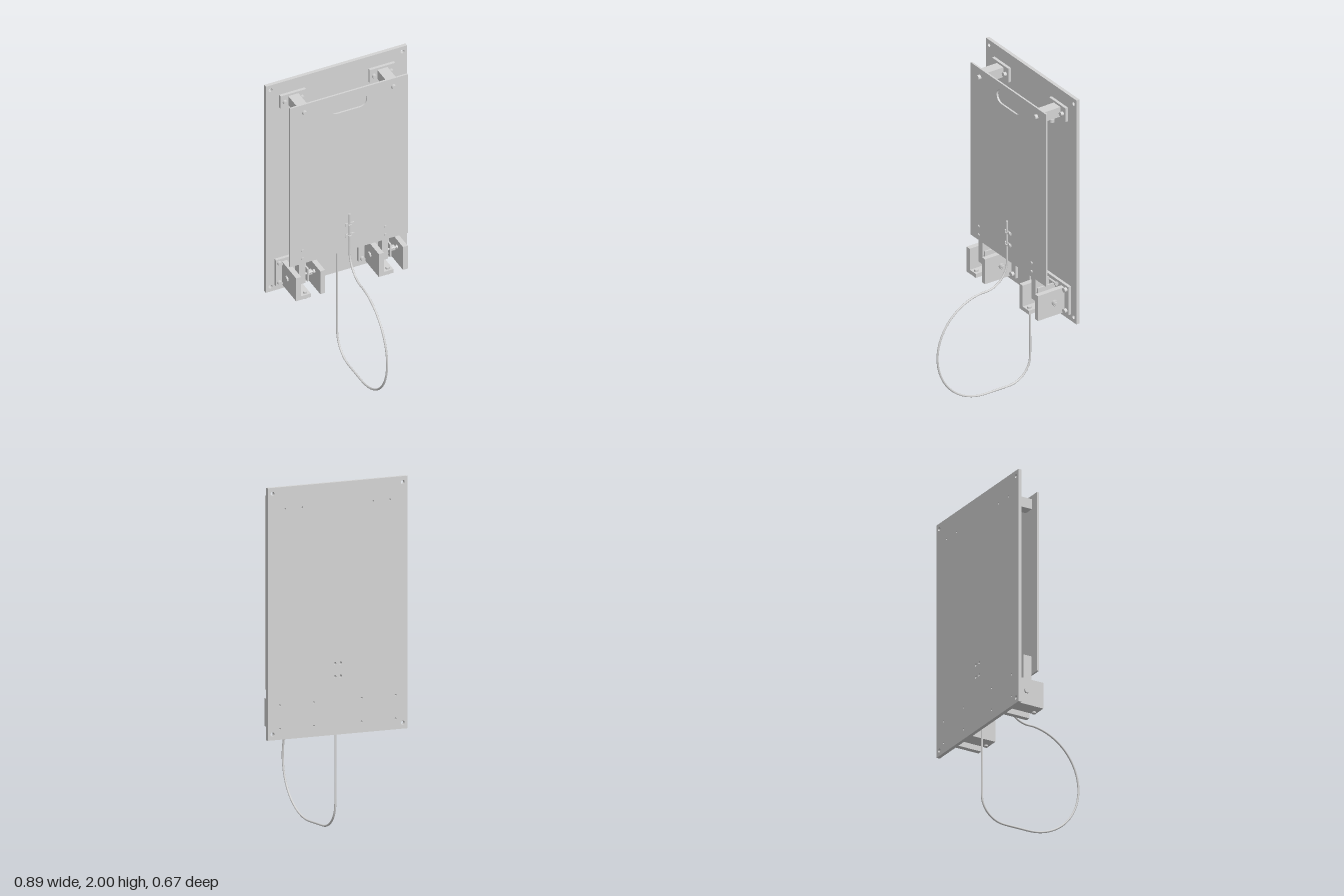
import * as THREE from 'three';

const grey = new THREE.MeshStandardMaterial({ color: 0xd4d4d4 });
grey.name = 'light grey metal';

function add(parent, geometry, name, x = 0, y = 0, z = 0) {
  const mesh = new THREE.Mesh(geometry, grey);
  mesh.name = name;
  mesh.position.set(x, y, z);
  parent.add(mesh);
  return mesh;
}

// Box given by its limits on each axis
function box(parent, name, x0, x1, y0, y1, z0, z1) {
  return add(parent, new THREE.BoxGeometry(x1 - x0, y1 - y0, z1 - z0), name,
    (x0 + x1) / 2, (y0 + y1) / 2, (z0 + z1) / 2);
}

// Cylinder between two positions on one axis; a and b are the other two coordinates in x, y, z order
function rod(parent, name, axis, from, to, a, b, r, sides = 20) {
  const mid = (from + to) / 2;
  const p = axis === 'x' ? [mid, a, b] : axis === 'y' ? [a, mid, b] : [a, b, mid];
  const mesh = add(parent, new THREE.CylinderGeometry(r, r, to - from, sides), name, ...p);
  if (axis === 'x') mesh.rotation.z = Math.PI / 2;
  if (axis === 'z') mesh.rotation.x = Math.PI / 2;
  return mesh;
}

// Flat panel with round holes [x, y, r] and optional extra hole paths
function panel(parent, name, hw, y0, y1, z0, z1, holes, paths = []) {
  const s = new THREE.Shape([
    new THREE.Vector2(-hw, y0), new THREE.Vector2(hw, y0),
    new THREE.Vector2(hw, y1), new THREE.Vector2(-hw, y1)]);
  for (const [x, y, r] of holes) s.holes.push(new THREE.Path().absarc(x, y, r, 0, Math.PI * 2, true));
  s.holes.push(...paths);
  const g = new THREE.ExtrudeGeometry(s, { depth: z1 - z0, bevelEnabled: false, curveSegments: 12 });
  return add(parent, g, name, 0, 0, z0);
}

// Post that carries the top of the front panel
function upperMount(x) {
  const g = new THREE.Group();
  g.name = 'upperMount';
  box(g, 'mountPlate', x - 0.08, x + 0.08, 1.828, 1.917, -0.316, -0.298);
  box(g, 'post', x - 0.032, x + 0.032, 1.842, 1.904, -0.298, -0.169);
  rod(g, 'panelBolt', 'z', -0.158, -0.14, x, 1.872, 0.015);
  rod(g, 'setScrew', 'y', 1.82, 1.845, x, -0.262, 0.01);
  rod(g, 'setScrewHead', 'y', 1.806, 1.825, x, -0.262, 0.015);
  for (const d of [-0.054, 0.054]) rod(g, 'mountBolt', 'z', -0.298, -0.28, x + d, 1.872, 0.013);
  return g;
}

// Open bracket with an axle, roller and hanger strip
function lowerBracket(x) {
  const g = new THREE.Group();
  g.name = 'lowerBracket';
  g.position.x = x;
  box(g, 'basePlate', -0.13, 0.13, 0.595, 0.777, -0.316, -0.298);
  for (const sx of [-0.108, 0.108]) {
    for (const y of [0.617, 0.752]) {
      rod(g, 'baseBolt', 'z', -0.298, -0.28, sx, y, 0.014);
    }
  }
  box(g, 'outerWall', -0.092, -0.06, 0.598, 0.758, -0.298, -0.117);
  box(g, 'innerWall', 0.06, 0.09, 0.598, 0.758, -0.298, -0.117);
  box(g, 'floor', -0.06, 0, 0.598, 0.623, -0.298, -0.117);
  // Axle with head, nut and washers
  rod(g, 'axle', 'x', -0.095, 0.115, 0.683, -0.228, 0.01);
  rod(g, 'axleHead', 'x', -0.102, -0.092, 0.683, -0.228, 0.018, 6);
  rod(g, 'axleNut', 'x', 0.09, 0.107, 0.683, -0.228, 0.018, 6);
  rod(g, 'roller', 'x', -0.06, -0.045, 0.683, -0.228, 0.037, 28);
  rod(g, 'bushing', 'x', 0.012, 0.058, 0.683, -0.228, 0.018);
  // Hanger strip fixed to the back of the front panel
  box(g, 'hanger', -0.047, -0.008, 0.665, 0.928, -0.222, -0.169);
  rod(g, 'hangerEye', 'x', -0.045, 0.012, 0.683, -0.228, 0.035, 28);
  for (const y of [0.85, 0.905]) rod(g, 'hangerScrew', 'z', -0.17, -0.152, -0.03, y, 0.009);
  // Side screws above the axle and the screw under the floor
  for (const [y, z] of [[0.772, -0.272], [0.72, -0.182]]) {
    rod(g, 'guidePin', 'x', -0.02, 0.055, y, z, 0.007);
    rod(g, 'guidePinHead', 'x', 0.045, 0.055, y, z, 0.012);
  }
  box(g, 'guideTab', 0.005, 0.015, 0.67, 0.757, -0.285, -0.17);
  rod(g, 'floorScrew', 'y', 0.588, 0.635, -0.026, -0.138, 0.012);
  return g;
}

// Cable clip: a saddle over the cable with two screws
function cableClip(y, z) {
  const g = new THREE.Group();
  g.name = 'cableClip';
  g.position.set(0, y, z);
  box(g, 'clipBar', -0.024, 0.032, -0.008, 0.008, -0.006, 0);
  const saddle = add(g, new THREE.TorusGeometry(0.008, 0.004, 8, 16, Math.PI), 'saddle', 0, 0, 0.003);
  saddle.rotation.x = Math.PI / 2;
  for (const x of [-0.018, 0.018]) rod(g, 'clipScrew', 'z', 0, 0.006, x, 0, 0.011, 12);
  return g;
}

// Cable loop in the plane x = 0
function cable() {
  const pts = [];
  const put = (z, y) => pts.push(new THREE.Vector3(0, y, z));
  const arc = (cz, cy, r, from, to, n) => {
    for (let i = 0; i <= n; i++) {
      const a = THREE.MathUtils.degToRad(from + (to - from) * i / n);
      put(cz + r * Math.cos(a), cy + r * Math.sin(a));
    }
  };
  put(-0.149, 1.072);
  put(-0.149, 0.95);
  arc(0, 0.812, 0.149, 180, 270, 10);
  arc(0, 0.336, 0.329, 85, -90, 26);
  put(-0.08, 0.007);
  arc(-0.16, 0.155, 0.148, -90, -180, 10);
  put(-0.308, 0.4);
  put(-0.308, 0.75);
  put(-0.308, 1.035);
  const curve = new THREE.CatmullRomCurve3(pts, false, 'centripetal');
  return new THREE.TubeGeometry(curve, 200, 0.006, 10, false);
}

export function createModel() {
  const model = new THREE.Group();
  model.name = 'hangingPanelRig';

  // Back plate with corner holes and small fixing holes
  const holes = [];
  for (const s of [-1, 1]) {
    for (const y of [0.589, 1.966]) holes.push([s * 0.415, y, 0.012]);
    for (const d of [-0.054, 0.054]) holes.push([s * 0.28 + d, 1.872, 0.006]);
    for (const y of [0.617, 0.752]) for (const d of [-0.108, 0.108]) holes.push([s * 0.26 + d, y, 0.006]);
    for (const y of [0.888, 0.963]) holes.push([s * 0.018, y, 0.009]);
  }
  panel(model, 'backPlate', 0.444, 0.555, 2, -0.337, -0.316, holes);

  // Front panel with a rounded hand slot
  const slot = new THREE.Path();
  slot.absarc(0.071, 1.838, 0.044, Math.PI / 2, -Math.PI / 2, true);
  slot.absarc(-0.071, 1.838, 0.044, -Math.PI / 2, -Math.PI * 1.5, true);
  slot.closePath();
  panel(model, 'frontPanel', 0.37, 0.815, 1.926, -0.169, -0.158, [], [slot]);

  for (const x of [-0.28, 0.28]) model.add(upperMount(x));
  for (const x of [-0.26, 0.26]) model.add(lowerBracket(x));

  const loop = add(model, cable(), 'cable');
  rod(loop, 'cableEndFront', 'y', 1.067, 1.074, 0, -0.149, 0.006, 10);
  rod(loop, 'cableEndBack', 'y', 1.03, 1.037, 0, -0.308, 0.006, 10);
  for (const y of [0.925, 1]) model.add(cableClip(y, -0.152));
  for (const y of [0.888, 0.963]) model.add(cableClip(y, -0.31));
  return model;
}
